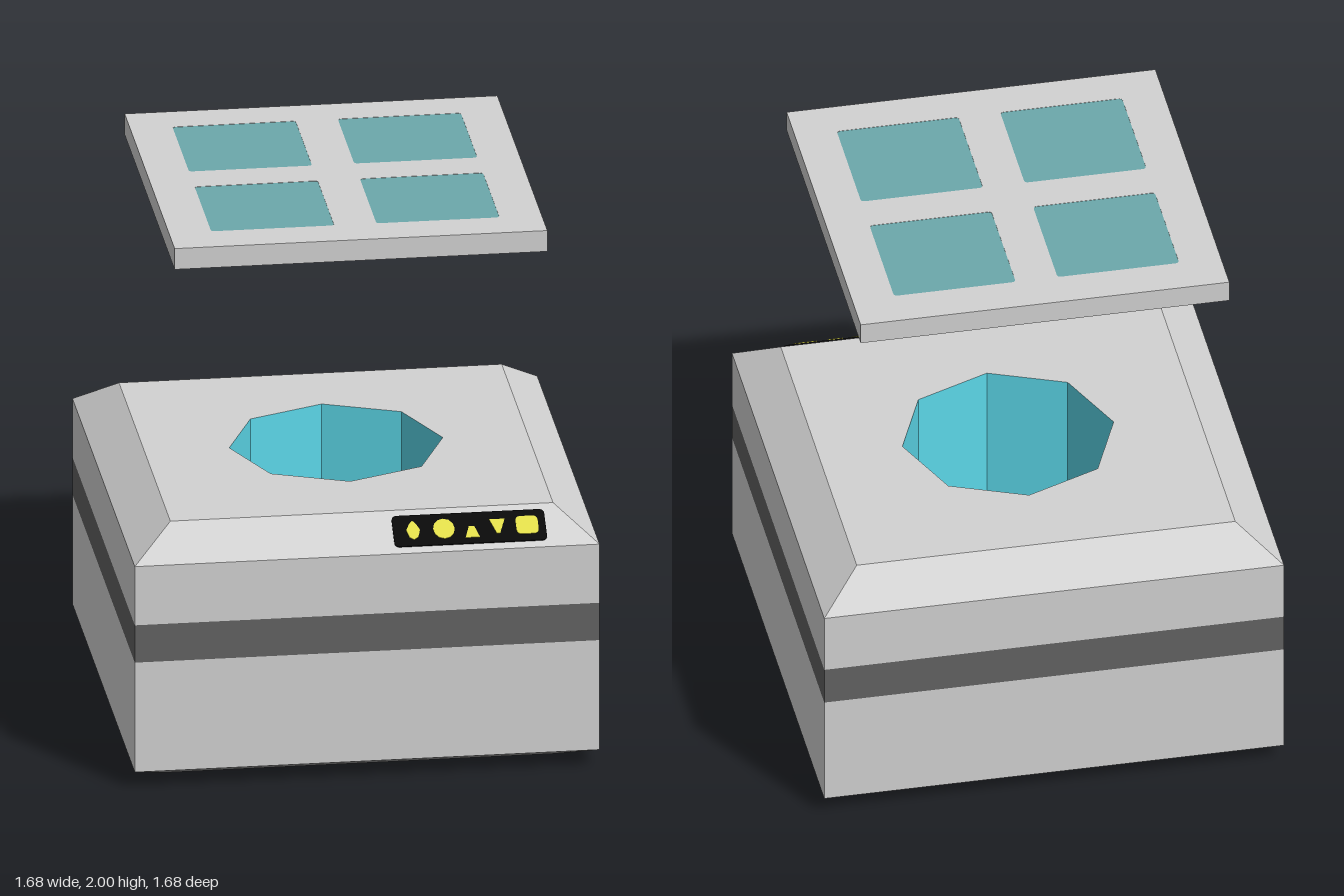
import * as THREE from 'three';

function paint(name, hex) {
  const m = new THREE.MeshStandardMaterial({ color: hex });
  m.name = name;
  return m;
}

// Faceted turned form: profile points are [half width, y]
function faceted(points, sides) {
  const square = sides === 4;
  const k = square ? Math.SQRT2 : 1;
  const pts = points.map(([r, y]) => new THREE.Vector2(r * k, y));
  const geo = new THREE.LatheGeometry(pts, sides, square ? Math.PI / 4 : 0).toNonIndexed();
  geo.computeVertexNormals();
  return geo;
}

// Draws a rounded rectangle on a Shape or Path
function roundRect(path, cx, cy, w, h, r) {
  const x0 = cx - w / 2, x1 = cx + w / 2, y0 = cy - h / 2, y1 = cy + h / 2;
  path.moveTo(x0 + r, y0);
  path.lineTo(x1 - r, y0);
  path.quadraticCurveTo(x1, y0, x1, y0 + r);
  path.lineTo(x1, y1 - r);
  path.quadraticCurveTo(x1, y1, x1 - r, y1);
  path.lineTo(x0 + r, y1);
  path.quadraticCurveTo(x0, y1, x0, y1 - r);
  path.lineTo(x0, y0 + r);
  path.quadraticCurveTo(x0, y0, x0 + r, y0);
  return path;
}

function polygon(points) {
  return new THREE.Shape(points.map(([x, y]) => new THREE.Vector2(x, y)));
}

function ellipse(cx, cy, rx, ry) {
  const s = new THREE.Shape();
  s.absellipse(cx, cy, rx, ry, 0, Math.PI * 2, false);
  return s;
}

function slab(shape, depth) {
  return new THREE.ExtrudeGeometry(shape, { depth, bevelEnabled: false, curveSegments: 6 });
}

export function createModel() {
  const model = new THREE.Group();
  model.name = 'boxWithFloatingLid';

  const shell = paint('lightGrey', 0xd2d2d2);
  const dark = paint('darkGrey', 0x626262);
  const under = paint('midGrey', 0x8f8f8f);
  const aqua = paint('aqua', 0x5edcee);
  const glass = paint('mutedTeal', 0x6ca8ab);
  const black = paint('black', 0x0a0a0a);
  const yellow = paint('yellow', 0xe2de4a);

  const add = (parent, name, geo, mat) => {
    const mesh = new THREE.Mesh(geo, mat);
    mesh.name = name;
    parent.add(mesh);
    return mesh;
  };

  // Body, from the bevelled underside to the bevelled shoulder
  const W = 0.838, T = 0.69, top = 0.963, R = 0.385;
  add(model, 'underside', faceted([[0, 0], [T, 0], [W, 0.065]], 4), under);
  add(model, 'lowerBody', faceted([[W, 0.065], [W, 0.485]], 4), shell);
  add(model, 'darkBand', faceted([[W, 0.485], [W, 0.628]], 4), dark);
  add(model, 'upperBody', faceted([[W, 0.628], [W, 0.853], [T, top]], 4), shell);

  // Top face with an eight-sided opening, and the well below it
  const face = polygon([[-T, -T], [T, -T], [T, T], [-T, T]]);
  const hole = [];
  for (let i = 0; i < 8; i++) {
    const a = (-i * Math.PI) / 4;
    hole.push(new THREE.Vector2(R * Math.cos(a), R * Math.sin(a)));
  }
  face.holes.push(new THREE.Path(hole));
  const topFace = add(model, 'topFace', new THREE.ShapeGeometry(face), shell);
  topFace.rotation.x = -Math.PI / 2;
  topFace.position.y = top;
  add(model, 'well', faceted([[R, top], [R, 0.1], [0, 0.1]], 8), aqua);

  // Sign plate on the front bevel
  const sign = new THREE.Group();
  sign.name = 'signPlate';
  sign.position.set(0.378, 0.908, 0.764);
  sign.rotation.x = -Math.atan2(W - T, top - 0.853);
  model.add(sign);
  add(sign, 'plate', slab(roundRect(new THREE.Shape(), 0, 0, 0.55, 0.13, 0.02), 0.005), black);
  const marks = [
    polygon([[-0.203, -0.04], [-0.187, -0.03], [-0.178, 0], [-0.19, 0.025], [-0.203, 0.04],
      [-0.216, 0.025], [-0.228, 0], [-0.219, -0.03]].reverse()),
    ellipse(-0.092, 0, 0.039, 0.042),
    polygon([[-0.018, -0.042], [0.034, -0.042], [0.018, 0.005], [-0.002, 0.005]]),
    polygon([[0.096, -0.03], [0.108, -0.03], [0.13, 0.03], [0.074, 0.03]]),
    roundRect(new THREE.Shape(), 0.208, 0, 0.08, 0.075, 0.02),
  ];
  marks.forEach((shape, i) => {
    add(sign, 'mark' + (i + 1), slab(shape, 0.003), yellow).position.z = 0.005;
  });

  // Floating lid with four glazed windows
  const lid = new THREE.Group();
  lid.name = 'lid';
  lid.position.y = 1.92;
  lid.rotation.x = -Math.PI / 2;
  model.add(lid);
  const L = 0.672, c = 0.298, w = 0.444;
  const frame = polygon([[-L, -L], [L, -L], [L, L], [-L, L]]);
  for (const sx of [-1, 1]) {
    for (const sy of [-1, 1]) {
      frame.holes.push(roundRect(new THREE.Path(), sx * c, sy * c, w, w, 0.015));
      const pane = roundRect(new THREE.Shape(), sx * c, sy * c, w, w, 0.015);
      add(lid, 'windowPane', slab(pane, 0.006), glass).position.z = 0.073;
    }
  }
  add(lid, 'lidFrame', slab(frame, 0.08), shell);

  return model;
}
